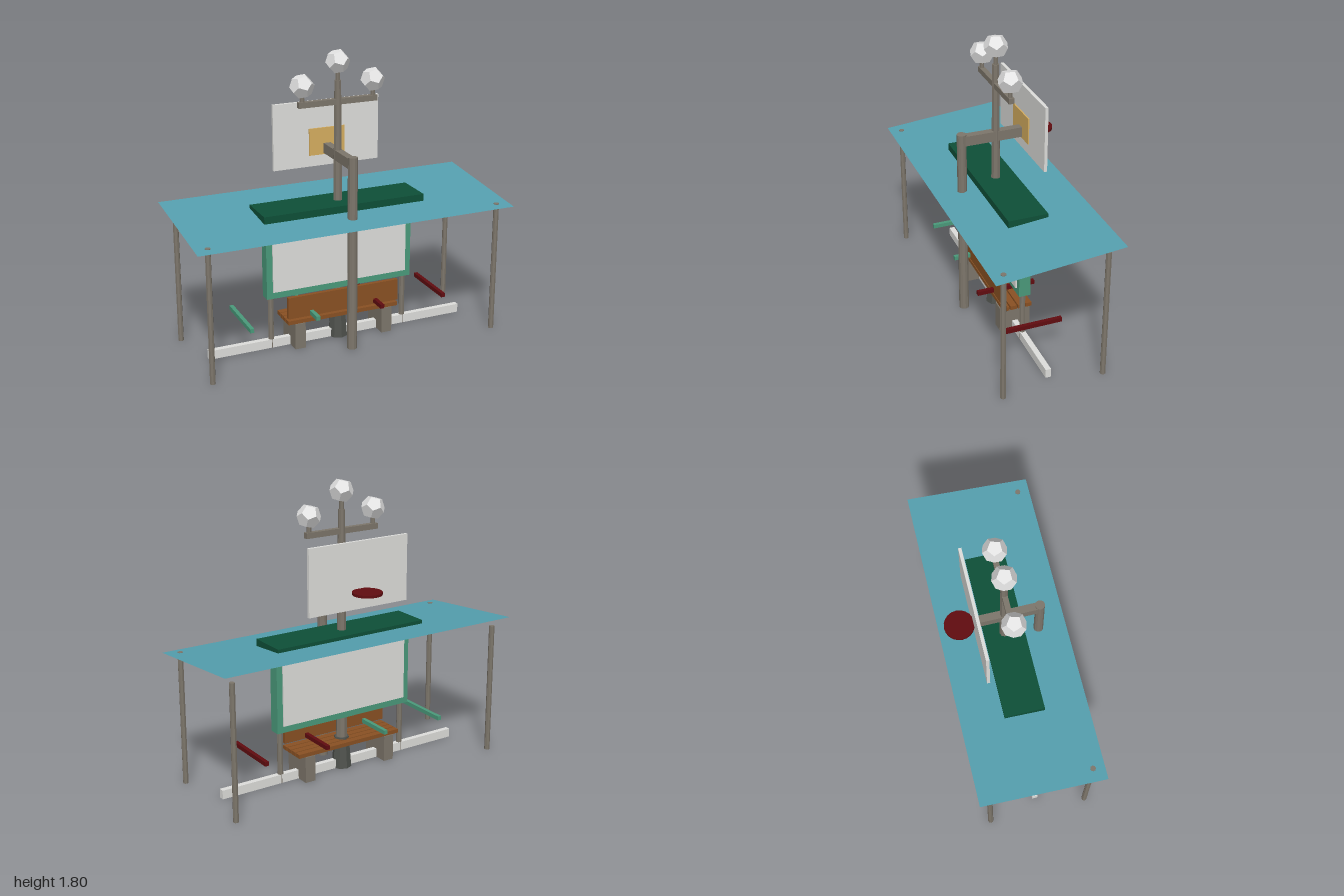
import * as THREE from 'three';

const mat = (name, color, extra = {}) => {
  const m = new THREE.MeshStandardMaterial({ color, flatShading: true, ...extra });
  m.name = name;
  return m;
};

export function createModel() {
  const group = new THREE.Group();
  const metal = mat('weathered metal', 0x7d766b);
  const darkMetal = mat('dark metal', 0x50534e);
  const white = mat('off white', 0xdededb);
  const lampGlass = mat('lamp glass', 0xe4e4e4);
  const canopyBlue = mat('canopy blue', 0x55a0af, { side: THREE.DoubleSide });
  const roofGreen = mat('dark green', 0x0e5038);
  const frameGreen = mat('frame green', 0x4a9a7b);
  const wood = mat('wood', 0x8a5123);
  const red = mat('dark red', 0x610c10);
  const tan = mat('tan', 0xd6ae60);

  const add = (name, geometry, material, x, y, z) => {
    const mesh = new THREE.Mesh(geometry, material);
    mesh.name = name;
    mesh.position.set(x, y, z);
    group.add(mesh);
    return mesh;
  };
  // Box given by its lower and upper limits on each axis
  const box = (name, material, [x0, x1], [y0, y1], [z0, z1]) =>
    add(name, new THREE.BoxGeometry(x1 - x0, y1 - y0, z1 - z0), material,
      (x0 + x1) / 2, (y0 + y1) / 2, (z0 + z1) / 2);
  // Upright tapered post
  const post = (name, material, x, z, y0, y1, rBottom, rTop = rBottom, sides = 8) =>
    add(name, new THREE.CylinderGeometry(rTop, rBottom, y1 - y0, sides), material, x, (y0 + y1) / 2, z);

  // Ground rail and centre mast
  box('groundRail', white, [-0.845, 0.845], [0, 0.055], [-0.017, 0.017]);
  post('mastFoot', darkMetal, 0, 0, 0, 0.2, 0.062, 0.046);
  post('mast', metal, 0, 0, 0.15, 1.62, 0.036, 0.021);

  // Sloping sheet canopy on four posts
  const depth = 0.765, rise = 0.07;
  const canopy = new THREE.PlaneGeometry(2, Math.hypot(depth, rise));
  canopy.rotateX(-Math.PI / 2 + Math.atan2(rise, depth));
  add('canopy', canopy, canopyBlue, 0, 0.855, 0);
  for (const x of [-0.92, 0.92])
    for (const z of [-0.31, 0.31]) post('canopyPost', metal, x, z, 0, 0.83, 0.017);

  // Notice board with its own small roof
  box('boardRoof', roofGreen, [-0.517, 0.517], [0.83, 0.888], [-0.122, 0.122]);
  box('boardFrame', frameGreen, [-0.478, 0.478], [0.33, 0.83], [-0.036, 0.036]);
  for (const s of [-1, 1]) {
    box('boardPanel', white, [-0.44, 0.44], [0.372, 0.788], s > 0 ? [0.036, 0.045] : [-0.045, -0.036]);
    post('boardLeg', metal, s * 0.443, 0, 0, 0.33, 0.018);
  }

  // Bench
  for (const s of [-1, 1])
    box('benchLeg', metal, [s * 0.29 - 0.034, s * 0.29 + 0.034], [0, 0.165], [-0.098, 0.098]);
  for (let i = 0; i < 4; i++) {
    const z = -0.072 + i * 0.048;
    box('seatSlat', wood, [-0.365, 0.365], [0.165, 0.19], [z - 0.02, z + 0.02]);
  }
  box('benchBack', wood, [-0.365, 0.365], [0.205, 0.342], [0.071, 0.095]);

  // Hand bars running front to back
  for (const [x, m] of [[-0.635, frameGreen], [-0.215, frameGreen], [0.21, red], [0.632, red]])
    box('handBar', m, [x - 0.012, x + 0.012], [0.215, 0.241], [-0.17, 0.2]);

  // Backboard with its post, arm, target and hoop
  post('backboardPost', metal, 0, 0.213, 0, 1.21, 0.031, 0.029, 12);
  box('backboardArm', metal, [-0.023, 0.023], [1.138, 1.2], [-0.165, 0.213]);
  box('backboard', white, [-0.344, 0.344], [1.06, 1.465], [-0.184, -0.165]);
  box('target', tan, [-0.116, 0.116], [1.13, 1.297], [-0.165, -0.157]);
  add('hoop', new THREE.CylinderGeometry(0.089, 0.089, 0.016, 20), red, 0, 1.175, -0.266);

  // Lamp cluster
  box('lampBar', metal, [-0.25, 0.25], [1.476, 1.51], [-0.016, 0.016]);
  for (const [x, y, stem] of [[-0.225, 1.604, 1.5], [0, 1.73, 1.6], [0.225, 1.604, 1.5]]) {
    post('lampStem', metal, x, 0, stem, y, 0.014);
    add('lamp', new THREE.DodecahedronGeometry(0.073), lampGlass, x, y, 0).rotation.set(0.5, 0.15, 0.2);
  }
  return group;
}
